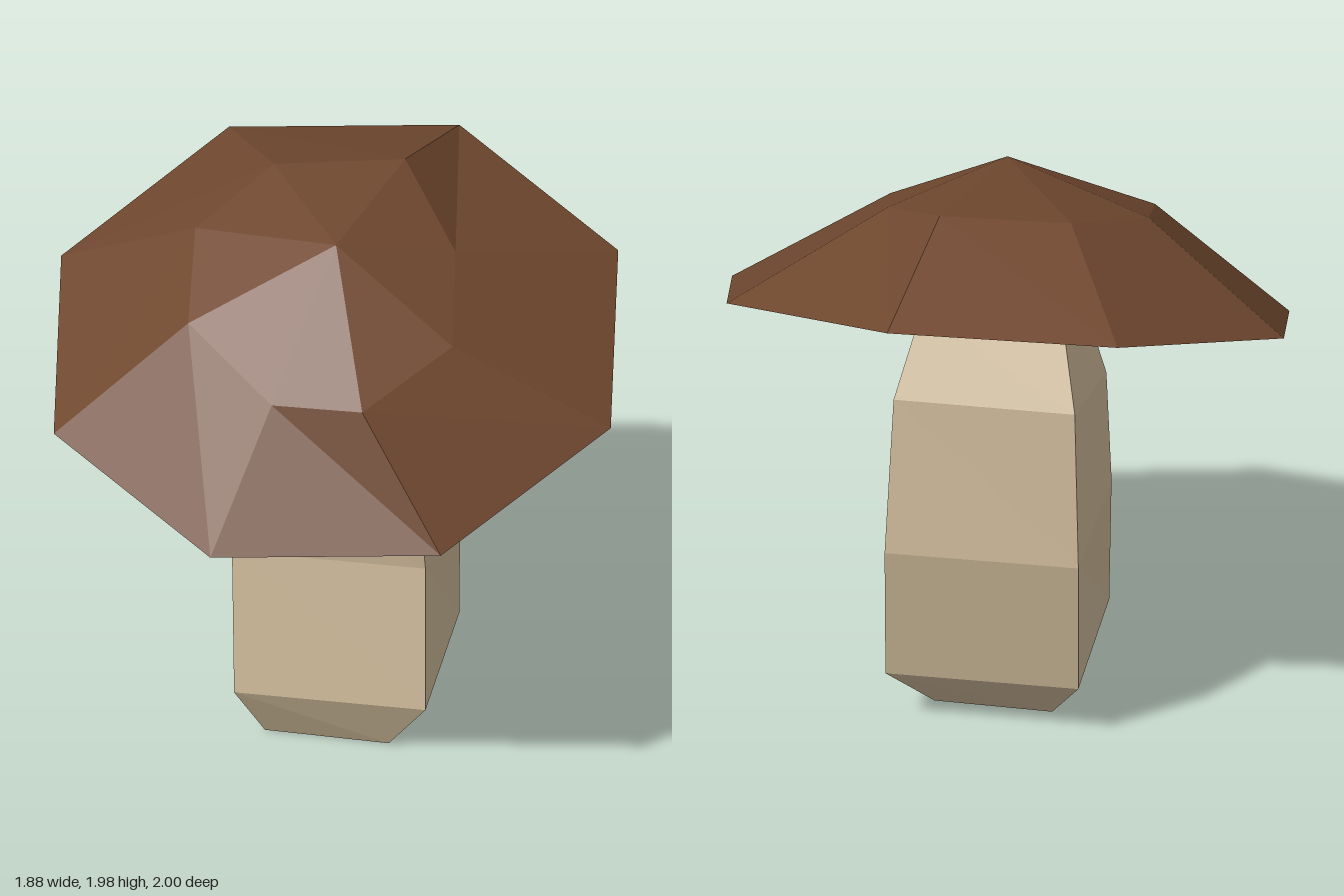
import * as THREE from 'three';

// Joins matching rings of points, lowest first, each listed clockwise from above.
function loft(rings) {
  const pos = [];
  for (let r = 0; r < rings.length - 1; r++) {
    const lo = rings[r], hi = rings[r + 1], n = lo.length;
    for (let i = 0; i < n; i++) {
      const j = (i + 1) % n;
      pos.push(...lo[i], ...hi[i], ...hi[j], ...lo[i], ...hi[j], ...lo[j]);
    }
  }
  return finish(pos);
}

// Fans a ring to a centre point, facing up or down.
function fan(ring, centre, up) {
  const pos = [];
  ring.forEach((p, i) => {
    const q = ring[(i + 1) % ring.length];
    pos.push(...centre, ...(up ? q : p), ...(up ? p : q));
  });
  return finish(pos);
}

function finish(pos) {
  const geo = new THREE.BufferGeometry();
  geo.setAttribute('position', new THREE.Float32BufferAttribute(pos, 3));
  geo.computeVertexNormals();
  return geo;
}

export function createModel() {
  const capBrown = new THREE.MeshStandardMaterial({ color: 0x70482f, flatShading: true });
  capBrown.name = 'capBrown';
  const stemTan = new THREE.MeshStandardMaterial({ color: 0xcdb999, flatShading: true, side: THREE.DoubleSide });
  stemTan.name = 'stemTan';

  const group = new THREE.Group();
  group.name = 'mushroom';
  const add = (name, geo, mat, parent) => {
    const mesh = new THREE.Mesh(geo, mat);
    mesh.name = name;
    parent.add(mesh);
  };

  // Bent four-sided stem, open at the foot
  const stemRings = [
    [[-0.28, 0, -0.09], [0.09, 0, -0.26], [0.27, 0, 0.11], [-0.09, 0, 0.3]],
    [[-0.4, 0.19, -0.13], [0.19, 0.19, -0.45], [0.5, 0.19, 0.145], [-0.09, 0.19, 0.46]],
    [[-0.335, 0.7, -0.19], [0.255, 0.7, -0.5], [0.57, 0.7, 0.095], [-0.02, 0.7, 0.405]],
    [[-0.345, 1.1, -0.16], [0.21, 1.26, -0.45], [0.5, 1.26, 0.11], [-0.06, 1.1, 0.4]],
    [[-0.31, 1.36, -0.09], [0.11, 1.545, -0.32], [0.34, 1.545, 0.11], [-0.07, 1.36, 0.34]],
  ];
  add('stem', loft(stemRings), stemTan, group);

  // Tilted eight-sided cap: flat rim, shoulder ring and apex
  const cap = new THREE.Group();
  cap.name = 'cap';
  group.add(cap);
  const rim = [
    [-0.25, -1], [0.49, -0.85], [0.94, -0.2], [0.84, 0.57],
    [0.25, 1], [-0.49, 0.84], [-0.94, 0.19], [-0.84, -0.57],
  ].map(([x, z]) => [x, 1.445 + 0.339 * x - 0.18 * z, z]);
  const shoulder = [
    [-0.22, 1.84, -0.44], [0.14, 1.95, -0.38], [0.41, 1.975, -0.02], [0.23, 1.82, 0.34],
    [-0.08, 1.67, 0.57], [-0.48, 1.565, 0.49], [-0.6, 1.54, 0.19], [-0.54, 1.69, -0.22],
  ];
  add('capSides', loft([rim, shoulder]), capBrown, cap);
  add('capTop', fan(shoulder, [-0.14, 1.935, 0.11], true), capBrown, cap);
  add('capUnderside', fan(rim, [0, 1.445, 0], false), stemTan, cap);

  return group;
}
